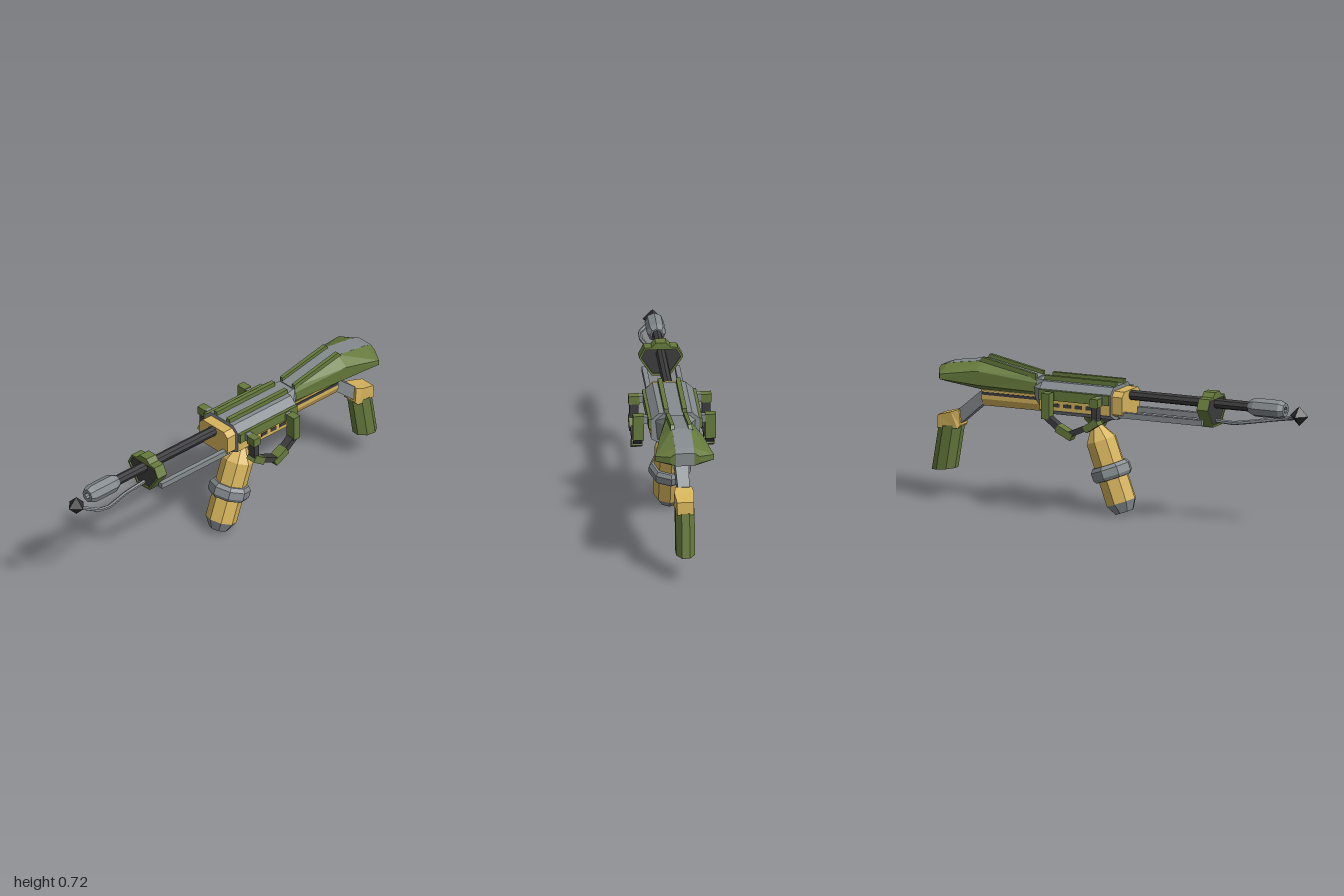
import * as THREE from 'three';

const mat = (color) => new THREE.MeshStandardMaterial({ color, flatShading: true });
const green = mat(0x667a3c), grey = mat(0x858b8f), dark = mat(0x3c3c3e), yellow = mat(0xd6b45c), black = mat(0x2c2c2e);

export function createModel() {
  const root = new THREE.Group();
  const add = (name, geo, material, parent = root) => {
    const mesh = new THREE.Mesh(geo, material);
    mesh.name = name;
    parent.add(mesh);
    return mesh;
  };
  // Axis-aligned box given by its two corners
  const box = (name, m, [x0, y0, z0], [x1, y1, z1], parent) => {
    const mesh = add(name, new THREE.BoxGeometry(Math.abs(x1 - x0), Math.abs(y1 - y0), Math.abs(z1 - z0)), m, parent);
    mesh.position.set((x0 + x1) / 2, (y0 + y1) / 2, (z0 + z1) / 2);
  };
  // Square bar between two points
  const bar = (name, m, a, b, w, h, parent) => {
    const A = new THREE.Vector3(...a), B = new THREE.Vector3(...b);
    const mesh = add(name, new THREE.BoxGeometry(w, h, A.distanceTo(B)), m, parent);
    mesh.position.copy(A).lerp(B, 0.5);
    mesh.quaternion.setFromUnitVectors(new THREE.Vector3(0, 0, 1), B.sub(A).normalize());
  };
  // Symmetric outline from its right half, pushed along z
  const mirrored = (half) => [...half, ...half.slice().reverse().map(([x, y]) => [-x, y])];
  const extrude = (name, m, half, z0, z1, hole) => {
    const outline = (h) => mirrored(h).map((p) => new THREE.Vector2(...p));
    const shape = new THREE.Shape(outline(half));
    if (hole) shape.holes.push(new THREE.Path(outline(hole)));
    const mesh = add(name, new THREE.ExtrudeGeometry(shape, { depth: z1 - z0, bevelEnabled: false }), m);
    mesh.position.z = z0;
  };
  // Closed flat-shaded body through matching rings of points
  const loft = (name, m, rings) => {
    const tris = [], n = rings[0].length, last = rings.length - 1;
    for (let i = 0; i < last; i++) for (let j = 0; j < n; j++) {
      const k = (j + 1) % n, a = rings[i], b = rings[i + 1];
      tris.push([a[j], a[k], b[k]], [a[j], b[k], b[j]]);
    }
    for (let j = 1; j < n - 1; j++) {
      tris.push([rings[0][0], rings[0][j + 1], rings[0][j]], [rings[last][0], rings[last][j], rings[last][j + 1]]);
    }
    // turn the faces outward if the enclosed volume is negative
    const V = (p) => new THREE.Vector3(...p);
    const volume = tris.reduce((s, t) => s + V(t[0]).dot(V(t[1]).cross(V(t[2]))), 0);
    if (volume < 0) tris.forEach((t) => t.reverse());
    const geo = new THREE.BufferGeometry();
    geo.setAttribute('position', new THREE.Float32BufferAttribute(tris.flat(2), 3));
    geo.computeVertexNormals();
    add(name, geo, m);
  };
  // Turned body along +y, 8 sides
  const lathe = (name, m, pts, parent) =>
    add(name, new THREE.LatheGeometry(pts.map((p) => new THREE.Vector2(...p)), 8), m, parent);

  // Barrel, nozzle and igniter
  const barrel = new THREE.Group();
  barrel.name = 'barrelAssembly';
  barrel.position.y = 0.595;
  barrel.rotation.x = Math.PI / 2;
  root.add(barrel);
  lathe('barrel', dark, [[0, 0], [0.025, 0], [0.025, 0.7], [0, 0.7]], barrel);
  lathe('nozzle', grey, [[0, 0.69], [0.032, 0.69], [0.046, 0.72], [0.046, 0.855], [0.034, 0.88], [0.016, 0.88], [0.016, 0.84]], barrel);
  lathe('nozzleBore', black, [[0.016, 0.845], [0, 0.845]], barrel);
  const tip = add('igniterTip', new THREE.OctahedronGeometry(0.048), black);
  tip.position.set(0, 0.572, 0.952);
  const pipe = new THREE.CurvePath();
  const route = [[0, 0.51, 0.49], [0.005, 0.505, 0.6], [0.02, 0.512, 0.66], [0.068, 0.53, 0.8], [0.068, 0.54, 0.865], [0.012, 0.56, 0.94]]
    .map((p) => new THREE.Vector3(...p));
  for (let i = 1; i < route.length; i++) pipe.add(new THREE.LineCurve3(route[i - 1], route[i]));
  add('igniterPipe', new THREE.TubeGeometry(pipe, 40, 0.01, 6), grey);

  // Bracket that holds the barrel and the two rods
  const bracketInset = [[0.04, 0.494], [0.095, 0.577], [0.075, 0.618]];
  extrude('bracketFrame', green, [[0.045, 0.484], [0.106, 0.577], [0.08, 0.627], [0.045, 0.63], [0.025, 0.652]], 0.455, 0.515, bracketInset);
  extrude('bracketPlate', dark, bracketInset, 0.462, 0.508);
  for (const s of [1, -1]) box('sideRod', grey, [s * 0.068, 0.496, 0.03], [s * 0.092, 0.524, 0.475]);

  // Receiver
  extrude('receiver', grey, [[0.06, 0.477], [0.115, 0.505], [0.115, 0.608], [0.08, 0.64]], -0.38, 0);
  extrude('frontCollar', yellow, [[0.06, 0.494], [0.1, 0.512], [0.1, 0.598], [0.075, 0.622]], -0.01, 0.055);
  loft('receiverNeck', grey, [
    mirrored([[0.09, 0.5], [0.1, 0.6], [0.055, 0.64]]).map(([x, y]) => [x, y, -0.375]),
    mirrored([[0.045, 0.55], [0.055, 0.6], [0.045, 0.64]]).map(([x, y]) => [x, y, -0.44])]);
  for (const s of [1, -1]) {
    box('topRail', green, [s * 0.033, 0.63, 0], [s * 0.055, 0.662, -0.38]);
    box('sidePanel', green, [s * 0.1, 0.558, -0.003], [s * 0.13, 0.607, -0.377]);
    box('sideStrip', yellow, [s * 0.1, 0.508, -0.003], [s * 0.118, 0.558, -0.377]);
    for (let i = 0; i < 4; i++) {
      const z = -0.09 - i * 0.06;
      box('ventSlot', dark, [s * 0.11, 0.525, z], [s * 0.12, 0.543, z - 0.04]);
    }
  }

  // Carrying handles, one on each side
  for (const s of [1, -1]) {
    const g = new THREE.Group();
    g.name = s > 0 ? 'leftHandle' : 'rightHandle';
    root.add(g);
    const x = s * 0.174;
    for (const z of [-0.05, -0.31]) box('handleMount', grey, [s * 0.11, 0.563, z - 0.016], [s * 0.152, 0.6, z + 0.016], g);
    box('frontBlock', green, [s * 0.148, 0.558, -0.028], [s * 0.2, 0.6, -0.07], g);
    box('rearPost', green, [s * 0.148, 0.48, -0.288], [s * 0.2, 0.605, -0.33], g);
    bar('frontBar', dark, [x, 0.57, -0.05], [x, 0.47, -0.05], 0.042, 0.03, g);
    bar('elbow', green, [x, 0.488, -0.035], [x, 0.445, -0.1], 0.052, 0.036, g);
    bar('lowerBar', dark, [x, 0.46, -0.08], [x, 0.413, -0.185], 0.042, 0.028, g);
    bar('lowerBlock', green, [x, 0.4, -0.17], [x, 0.44, -0.25], 0.052, 0.036, g);
    bar('rearBar', dark, [x, 0.43, -0.23], [x, 0.49, -0.31], 0.042, 0.028, g);
  }

  // Tilted fuel tank hanging under the receiver
  const tank = new THREE.Group();
  tank.name = 'fuelTank';
  tank.position.set(0, 0.017, 0.02);
  tank.rotation.x = -0.35;
  root.add(tank);
  lathe('tankBase', grey, [[0, 0], [0.047, 0], [0.077, 0.05]], tank);
  lathe('tankBody', yellow, [[0.077, 0.05], [0.077, 0.365], [0.03, 0.435], [0, 0.435]], tank);
  lathe('tankBand', grey, [[0.075, 0.17], [0.09, 0.172], [0.102, 0.188], [0.102, 0.225], [0.088, 0.243], [0.075, 0.243]], tank);
  lathe('tankNeck', grey, [[0.03, 0.425], [0.022, 0.475]], tank);
  lathe('tankSocket', green, [[0, 0.46], [0.034, 0.46], [0.048, 0.485], [0.048, 0.53]], tank);

  // Shoulder stock: a grey spine between two flared green cheeks
  // each row: z, top, bottom, outer upper x and y, outer lower x and y
  const stock = [
    [-0.425, 0.645, 0.555, 0.056, 0.62, 0.056, 0.575],
    [-0.72, 0.702, 0.56, 0.105, 0.66, 0.1, 0.59],
    [-0.9, 0.675, 0.582, 0.142, 0.637, 0.142, 0.612],
    [-0.938, 0.662, 0.597, 0.07, 0.645, 0.07, 0.61],
  ];
  loft('stockSpine', grey, stock.map(([z, t, b]) => [[-0.045, t, z], [0.045, t, z], [0.045, b, z], [-0.045, b, z]]));
  for (const s of [1, -1]) {
    loft('stockCheek', green, stock.map(([z, t, b, ux, uy, lx, ly]) =>
      [[s * 0.044, t, z], [s * ux, uy, z], [s * lx, ly, z], [s * 0.044, b, z]]));
    loft('stockRail', green, [[-0.43, 0.63, 0.662], [-0.715, 0.68, 0.72], [-0.73, 0.68, 0.7]].map(([z, b, t]) =>
      [[s * 0.033, b, z], [s * 0.033, t, z], [s * 0.052, t, z], [s * 0.052, b, z]]));
    box('stockBarTrim', dark, [s * 0.03, 0.536, -0.42], [s * 0.053, 0.55, -0.715]);
  }
  extrude('stockBar', yellow, [[0.032, 0.48], [0.05, 0.515], [0.05, 0.56]], -0.72, -0.375);

  // Rear arm and grip
  const quad = (w, y, z, y2, z2) => [[-w, y, z], [w, y, z], [w, y2, z2], [-w, y2, z2]];
  loft('gripArm', grey, [quad(0.035, 0.56, -0.7, 0.485, -0.7), quad(0.035, 0.555, -0.725, 0.485, -0.72), quad(0.028, 0.45, -0.85, 0.375, -0.845)]);
  loft('gripHead', yellow, [quad(0.04, 0.45, -0.845, 0.37, -0.838), quad(0.048, 0.435, -0.885, 0.355, -0.85), quad(0.04, 0.415, -0.958, 0.35, -0.962)]);
  const gripRing = (y, z) => Array.from({ length: 8 }, (_, i) => {
    const a = (i + 0.5) * Math.PI / 4;
    return [0.05 * Math.cos(a), y - 0.008 * Math.sin(a), z - 0.067 * Math.sin(a)];
  });
  loft('grip', green, [gripRing(0.147, -0.938), gripRing(0.365, -0.902)]);

  return root;
}
